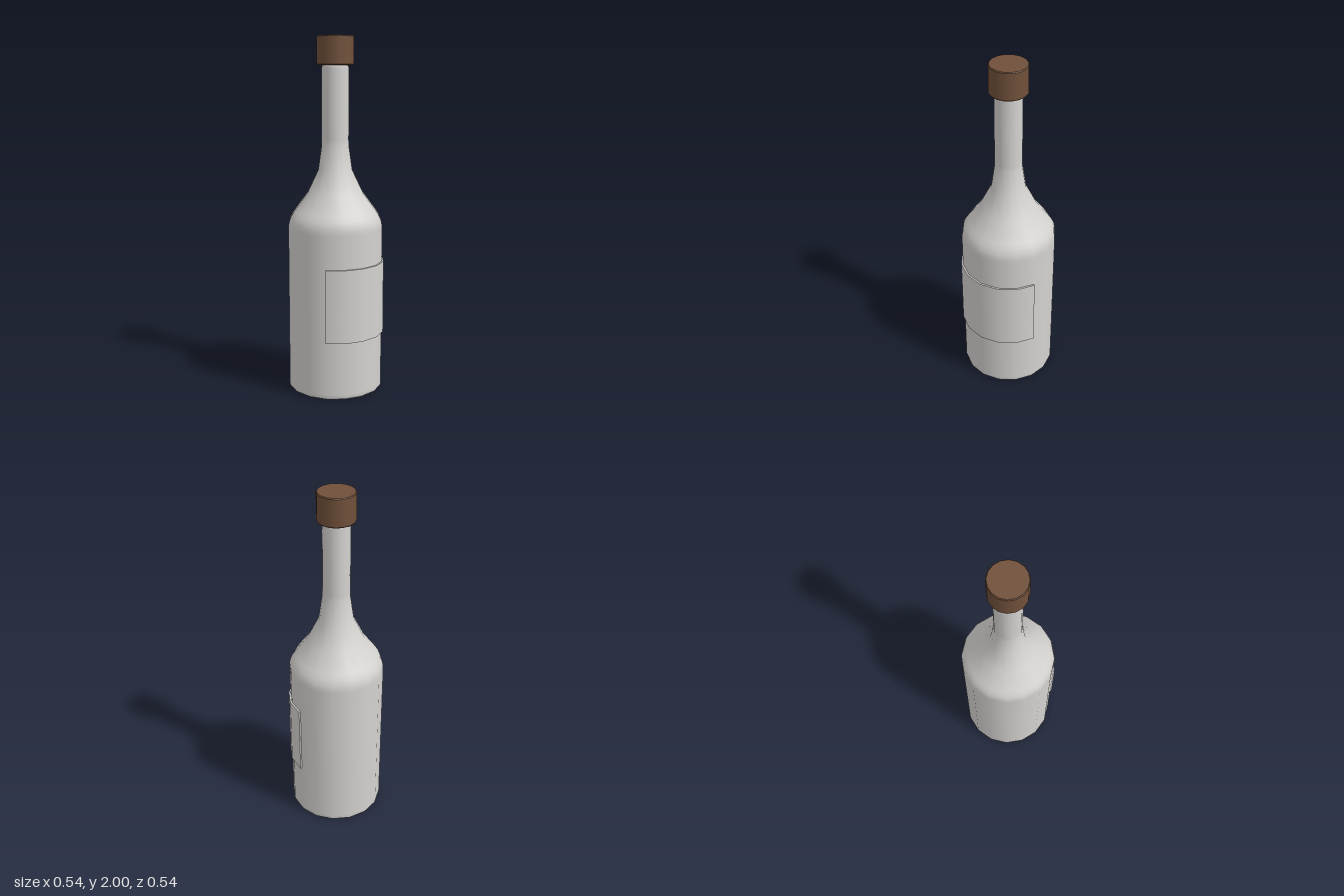
import * as THREE from 'three';
import { mergeGeometries } from 'three/addons/utils/BufferGeometryUtils.js';

const SIDES = 16;
const STEP = (Math.PI * 2) / SIDES;
const TURN = THREE.MathUtils.degToRad(15); // rotation of the facets about the axis

// Revolve several profile sections; edges between sections stay sharp
function revolve(sections, first = 0, count = SIDES) {
  return sections.map((pts) => new THREE.LatheGeometry(
    pts.map(([r, y]) => new THREE.Vector2(r, y)), count, TURN + first * STEP, count * STEP));
}

export function createModel() {
  const glass = new THREE.MeshStandardMaterial({ color: 0xd4d2cf });
  glass.name = 'pale grey';
  const cork = new THREE.MeshStandardMaterial({ color: 0x70503a });
  cork.name = 'brown';

  const model = new THREE.Group();
  model.name = 'bottle';
  const add = (name, parts, material) => {
    const mesh = new THREE.Mesh(mergeGeometries(parts), material);
    mesh.name = name;
    model.add(mesh);
  };

  // Body: flat base, small bevel, straight wall, shoulder and neck
  add('body', revolve([
    [[0, 0], [0.258, 0]],
    [[0.258, 0], [0.265, 0.004], [0.268, 0.015], [0.268, 0.03], [0.268, 0.93],
      [0.267, 0.955], [0.262, 0.98], [0.25, 1.005], [0.232, 1.032], [0.16, 1.13],
      [0.097, 1.26], [0.077, 1.4], [0.0765, 1.43], [0.0765, 1.825], [0.073, 1.838]],
    [[0.073, 1.838], [0, 1.838]],
  ]), glass);

  // Label: raised band wrapping six facets of the front
  const inner = 0.266, outer = 0.278, low = 0.33, high = 0.745;
  const first = -3, count = 6;
  const label = revolve([
    [[outer, low], [outer, high]],
    [[outer, high], [inner, high]],
    [[inner, low], [outer, low]],
  ], first, count);
  for (const [index, flip] of [[first, -1], [first + count, 1]]) {
    const angle = TURN + index * STEP;
    const mid = (inner + outer) / 2;
    label.push(new THREE.PlaneGeometry(outer - inner, high - low)
      .rotateY(angle + flip * Math.PI / 2)
      .translate(Math.sin(angle) * mid, (low + high) / 2, Math.cos(angle) * mid));
  }
  add('label', label, glass);

  // Stopper with slightly softened rims
  add('stopper', revolve([
    [[0, 1.84], [0.101, 1.84]],
    [[0.101, 1.84], [0.105, 1.845]],
    [[0.105, 1.845], [0.105, 1.995]],
    [[0.105, 1.995], [0.101, 2]],
    [[0.101, 2], [0, 2]],
  ]), cork);

  // The label pushes the axis slightly back and to the side
  for (const mesh of model.children) mesh.position.set(-0.005, 0, -0.005);
  return model;
}
